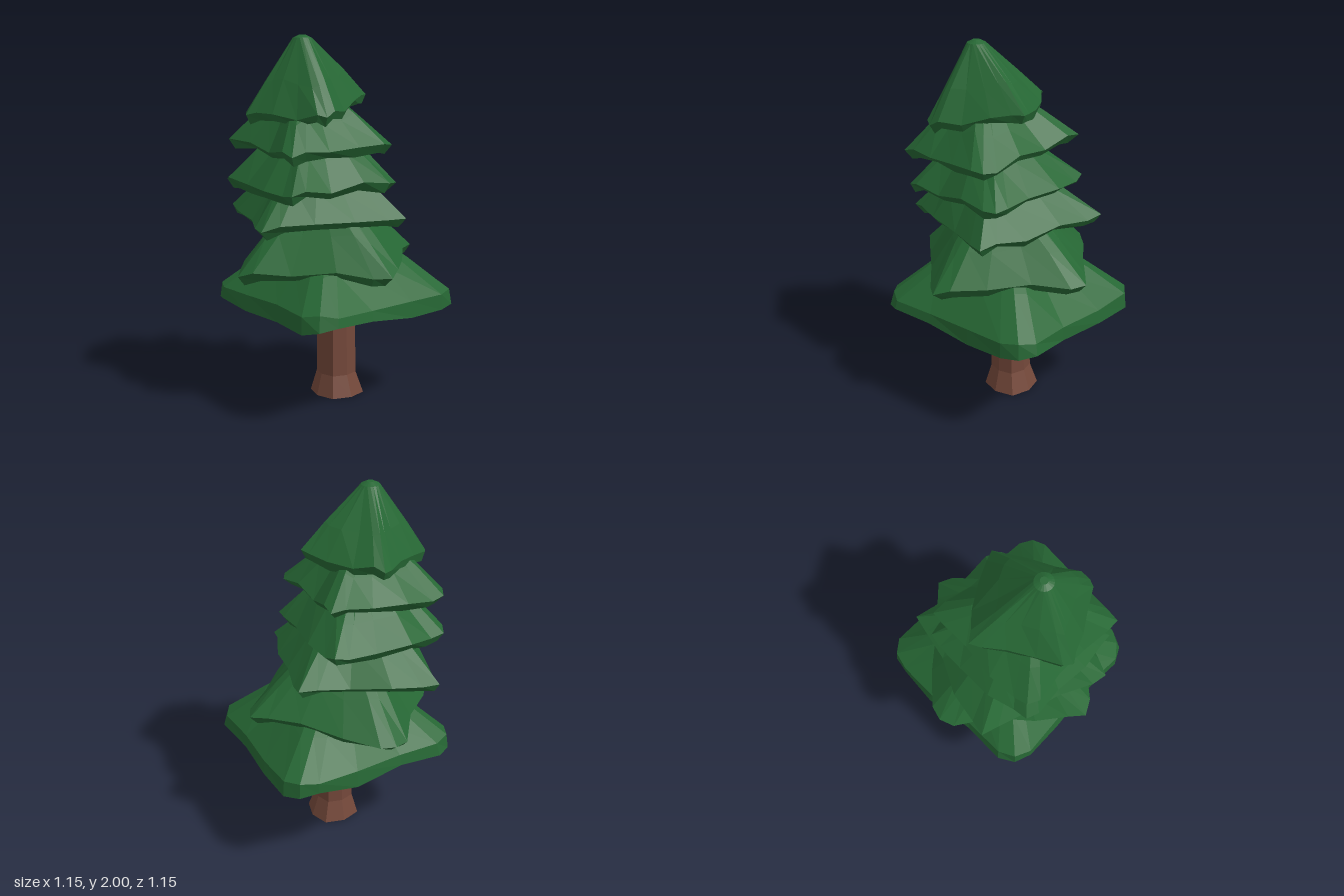
import * as THREE from 'three';

const leaf = new THREE.MeshStandardMaterial({ color: 0x266734, flatShading: true, side: THREE.DoubleSide });
const bark = new THREE.MeshStandardMaterial({ color: 0x74483a, flatShading: true });

// Small seeded generator, returns -1..1
function seeded(seed) {
  let s = seed * 7919 + 17;
  return () => {
    s = (s * 16807) % 2147483647;
    return (s / 2147483647) * 2 - 1;
  };
}

// Joins rings of points (listed top to bottom) into one faceted surface, closed at the top
function loft(rings, capBottom) {
  const n = rings[0].length;
  const pos = [];
  const tri = (a, b, c) => pos.push(...a, ...b, ...c);
  for (let r = 0; r < rings.length - 1; r++) {
    for (let i = 0; i < n; i++) {
      const j = (i + 1) % n;
      const [a, b, c, d] = [rings[r][i], rings[r + 1][i], rings[r + 1][j], rings[r][j]];
      tri(a, b, c);
      tri(a, c, d);
    }
  }
  const last = rings[rings.length - 1];
  for (let i = 1; i < n - 1; i++) {
    tri(rings[0][0], rings[0][i], rings[0][i + 1]);
    if (capBottom) tri(last[0], last[i + 1], last[i]);
  }
  const geo = new THREE.BufferGeometry();
  geo.setAttribute('position', new THREE.Float32BufferAttribute(pos, 3));
  geo.computeVertexNormals();
  return geo;
}

// Ring of points, counter-clockwise seen from above; square > 0 pushes the diagonals out
function circle(x, y, z, r, n, start = 0, square = 0) {
  return Array.from({ length: n }, (_, i) => {
    const a = start + (i / n) * Math.PI * 2;
    const d = r * (1 + square * Math.sin(2 * a) ** 2);
    return [x + d * Math.cos(a), y, z - d * Math.sin(a)];
  });
}

const mix = (a, b, t) => a.map((v, k) => v + (b[k] - v) * t);

// Rim stations along each side of a skirt: the corner first, then its neighbours
const stations = [0, 0.13, 0.36, 0.64, 0.87];

// One square skirt of branches: four blunt corners, ragged rim, hollow underside
function tier({ corners, blunt, bulge, top, lip, lift, tuck, rough }, seed) {
  const rnd = seeded(seed);
  const per = stations.length;
  const n = per * 4;
  const cx = corners.reduce((s, c) => s + c[0], 0) / 4;
  const cz = corners.reduce((s, c) => s + c[2], 0) / 4;
  const rimY = corners.reduce((s, c) => s + c[1], 0) / 4;
  const rim = corners.flatMap((c, k) => stations.map((t, i) => {
    const [x, y, z] = mix(c, corners[(k + 1) % 4], t);
    const s = i ? bulge + rnd() * rough : blunt;
    const rise = Math.sin(Math.PI * t) * lift + (i ? rnd() * rough * 0.35 : 0);
    return [cx + (x - cx) * s, y + rise, cz + (z - cz) * s];
  }));

  const [tx, ty, tz, tr] = top;
  const a0 = Math.atan2(cz - corners[0][2], corners[0][0] - cx);
  const crown = circle(tx, ty, tz, tr, n, a0);
  const tip = circle(tx, ty + 0.015, tz, tr * 0.4, n, a0);
  const shoulder = rim.map((p, i) => {
    const q = mix(crown[i], p, 0.6 + rnd() * 0.05);
    q[1] += 0.006 + rnd() * 0.012;
    return q;
  });
  const hem = rim.map(([x, y, z], i) => {
    const s = tuck + rnd() * rough * 0.6;
    const drop = i % per === 0 ? lip : lip * (0.85 + rnd() * 0.3);
    return [cx + (x - cx) * s, y - drop, cz + (z - cz) * s];
  });
  const inner = circle((cx + tx) / 2, rimY + 0.19, (cz + tz) / 2, 0.1, n, a0);
  return loft([tip, crown, shoulder, rim, hem, inner], false);
}

// Corners are [x, y, z], counter-clockwise from above; top is [x, y, z, radius]
const tiers = [
  { corners: [[0.56, 0.62, -0.5], [-0.49, 0.62, -0.48], [-0.46, 0.62, 0.55], [0.56, 0.62, 0.51]],
    blunt: 0.885, bulge: 0.965, top: [0.02, 1.0, 0.01, 0.1], lip: 0.085, lift: -0.012, tuck: 1.02, rough: 0.03 },
  { corners: [[0.57, 0.81, 0], [0, 0.77, -0.58], [-0.58, 0.75, 0], [0, 0.77, 0.57]],
    blunt: 1, bulge: 1.04, top: [-0.03, 1.2, 0, 0.1], lip: 0.05, lift: 0.015, tuck: 0.92, rough: 0.06 },
  { corners: [[0.43, 1.08, -0.3], [-0.29, 1.04, -0.535], [-0.55, 1.01, 0.18], [0.21, 1.04, 0.43]],
    blunt: 0.99, bulge: 1.0, top: [-0.07, 1.41, 0, 0.09], lip: 0.05, lift: 0.01, tuck: 0.91, rough: 0.06 },
  { corners: [[0.27, 1.25, -0.38], [-0.46, 1.22, -0.37], [-0.47, 1.2, 0.33], [0.25, 1.22, 0.35]],
    blunt: 0.92, bulge: 0.985, top: [-0.11, 1.57, 0, 0.08], lip: 0.05, lift: 0.01, tuck: 0.91, rough: 0.06 },
  { corners: [[0.26, 1.49, -0.33], [-0.44, 1.44, -0.35], [-0.47, 1.4, 0.34], [0.18, 1.43, 0.37]],
    blunt: 0.95, bulge: 0.985, top: [-0.15, 1.76, 0.01, 0.07], lip: 0.05, lift: 0.01, tuck: 0.9, rough: 0.06 },
  { corners: [[0.2, 1.68, 0.08], [-0.05, 1.66, -0.35], [-0.48, 1.59, -0.06], [-0.24, 1.59, 0.33]],
    blunt: 1, bulge: 1.05, top: [-0.185, 1.985, 0.03, 0.05], lip: 0.05, lift: 0, tuck: 0.94, rough: 0.06 },
];

// Trunk stations from top to foot: [x, y, z, radius]
const trunkPath = [
  [-0.17, 1.75, 0.03, 0.03],
  [-0.06, 1.2, 0.01, 0.065],
  [0.02, 0.8, 0.01, 0.09],
  [0.047, 0.53, 0.017, 0.098],
  [0.05, 0.12, 0.017, 0.102],
  [0.055, 0, 0.017, 0.138],
];

export function createModel() {
  const tree = new THREE.Group();
  tree.name = 'pineTree';

  // Trunk: flared foot, leaning as it rises through the branches
  const trunk = new THREE.Mesh(loft(trunkPath.map((p) => circle(...p, 8, 0, 0.09)), true), bark);
  trunk.name = 'trunk';
  tree.add(trunk);

  // Branch skirts from bottom to top
  tiers.forEach((spec, i) => {
    const mesh = new THREE.Mesh(tier(spec, i + 3), leaf);
    mesh.name = `branchTier${i + 1}`;
    tree.add(mesh);
  });
  return tree;
}
